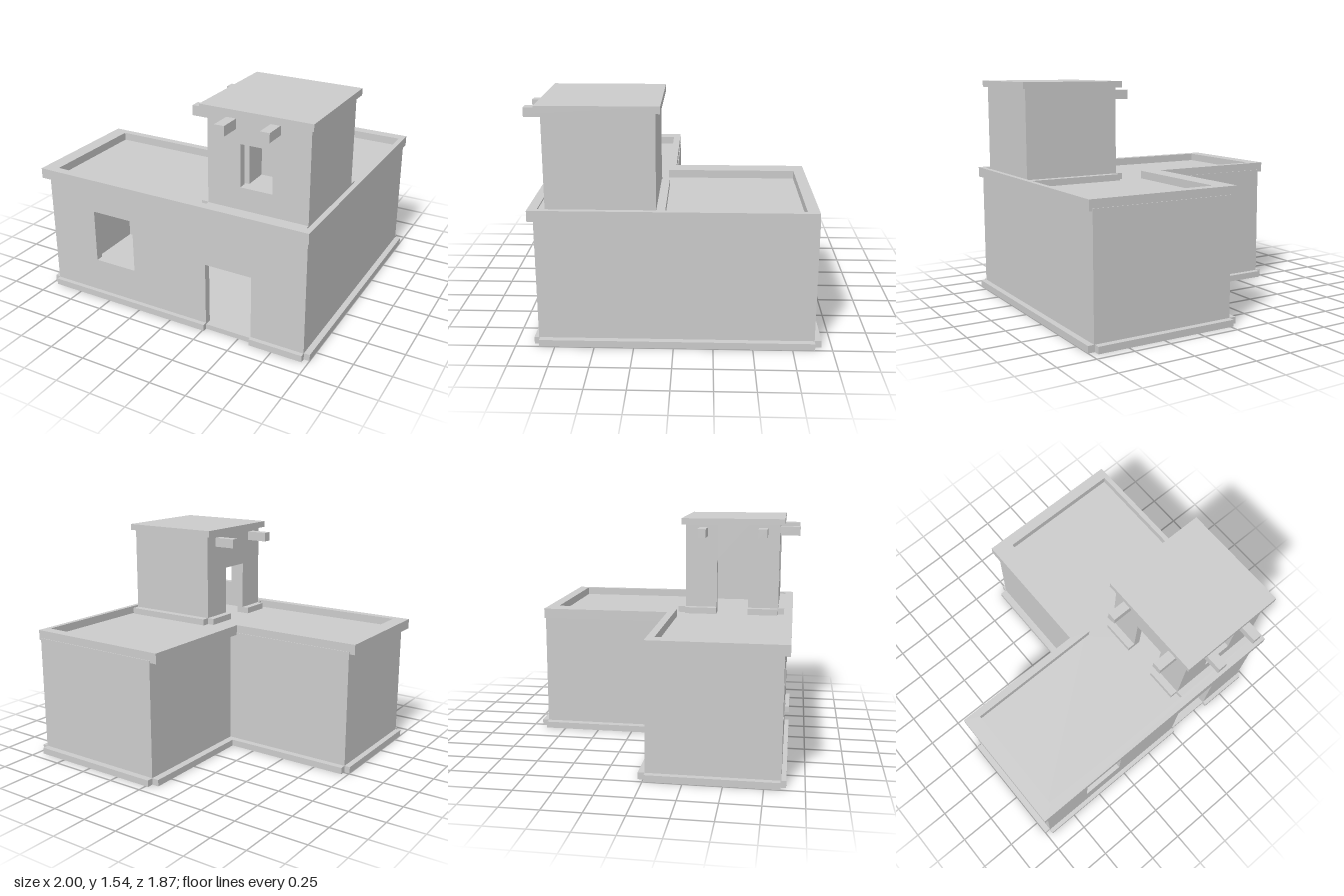
import * as THREE from 'three';

const material = new THREE.MeshStandardMaterial({ color: 0xcccccc, flatShading: true });

function add(group, name, geometry) {
  const mesh = new THREE.Mesh(geometry, material);
  mesh.name = name;
  group.add(mesh);
  return mesh;
}

// Box given by its limits on each axis
function block(group, name, [x0, x1], [y0, y1], [z0, z1]) {
  const mesh = add(group, name, new THREE.BoxGeometry(x1 - x0, y1 - y0, z1 - z0));
  mesh.position.set((x0 + x1) / 2, (y0 + y1) / 2, (z0 + z1) / 2);
  return mesh;
}

// L-shaped outline in plan: front block plus a wing at the back right
function lPoints(left, right, front, back, notchX, notchZ) {
  return [[left, front], [right, front], [right, back], [notchX, back], [notchX, notchZ], [left, notchZ]]
    .map(([x, z]) => new THREE.Vector2(x, -z));
}

function slab(group, name, outer, y0, y1, inner) {
  const shape = new THREE.Shape(outer);
  if (inner) shape.holes.push(new THREE.Path(inner));
  const geometry = new THREE.ExtrudeGeometry(shape, { depth: y1 - y0, bevelEnabled: false });
  geometry.rotateX(-Math.PI / 2);
  geometry.translate(0, y0, 0);
  return add(group, name, geometry);
}

const rect = ([a0, a1], [b0, b1]) =>
  [[a0, b0], [a1, b0], [a1, b1], [a0, b1]].map(([a, b]) => new THREE.Vector2(a, b));

// Upright wall panel in the xy plane with rectangular openings
function panel(span, height, thickness, openings) {
  const shape = new THREE.Shape(rect(span, height));
  openings.forEach(([a, b]) => shape.holes.push(new THREE.Path(rect(a, b))));
  return new THREE.ExtrudeGeometry(shape, { depth: thickness, bevelEnabled: false });
}

const T = 0.05; // wall thickness

function createHouse() {
  const house = new THREE.Group();
  house.name = 'house';
  const H = [0, 0.845];
  const L = -0.96, R = 0.96, F = 0.855, B = -0.89, NX = -0.02, NZ = 0.01;

  // Walls
  const front = panel([L, R], H, T, [
    [[-0.605, -0.295], [0.28, 0.65]],
    [[0.26, 0.59], [0.035, 0.48]],
  ]);
  front.translate(0, 0, F - T);
  add(house, 'frontWall', front);
  block(house, 'leftWall', [L, L + T], H, [NZ, F - T]);
  block(house, 'rightWall', [R - T, R], H, [B, F - T]);
  block(house, 'innerBackWall', [L + T, NX + T], H, [NZ, NZ + T]);
  block(house, 'wingSideWall', [NX, NX + T], H, [B, NZ]);
  block(house, 'wingBackWall', [NX + T, R - T], H, [B, B + T]);

  // Floor, roof deck and parapet
  const inside = lPoints(L + T, R - T, F - T, B + T, NX + T, NZ + T);
  slab(house, 'floor', inside, 0, 0.035);
  slab(house, 'roofDeck', inside, 0.795, 0.845);
  slab(house, 'parapet', lPoints(-1, 0.98, 0.89, -0.885, -0.07, 0.015), 0.83, 0.9,
    lPoints(-0.9, 0.945, 0.83, -0.81, 0.065, 0.065));

  // Plinth strips, open at the corners and the door
  const P = [0, 0.045];
  [
    [[L, 0.26], [F, 0.885]],
    [[0.59, R], [F, 0.885]],
    [[-1, L], [NZ, 0.85]],
    [[L, -0.07], [-0.035, NZ]],
    [[-0.07, NX], [B, NZ]],
    [[NX, 0.955], [-0.935, B]],
    [[R, 1], [B, 0.85]],
  ].forEach(([x, z]) => block(house, 'plinth', x, P, z));
  return house;
}

function createTower() {
  const tower = new THREE.Group();
  tower.name = 'tower';
  const H = [0.845, 1.495];
  const L = 0.25, R = 0.93, F = 0.785, B = 0.105;

  // Front wall with window
  const front = panel([L, R], H, T, [[[0.475, 0.69], [1.04, 1.32]]]);
  front.translate(0, 0, F - T);
  add(tower, 'towerFrontWall', front);

  // Left wall with a doorway down to the deck
  const doorZ = [0.335, 0.565], doorTop = 1.235;
  block(tower, 'towerLeftWall', [L, L + T], H, [B, doorZ[0]]);
  block(tower, 'towerLeftWall', [L, L + T], H, [doorZ[1], F - T]);
  block(tower, 'towerDoorLintel', [L, L + T], [doorTop, H[1]], doorZ);

  block(tower, 'towerRightWall', [R - T, R], H, [B, F - T]);
  block(tower, 'towerBackWall', [L + T, R - T], H, [B, B + T]);
  block(tower, 'towerRoof', [0.215, 0.955], [1.495, 1.54], [0.075, 0.82]);

  // Plinth strips on the deck
  const P = [0.845, 0.89];
  [
    [[0.2, L], [B, doorZ[0]]],
    [[0.2, L], [doorZ[1], 0.78]],
    [[L, R], [0.05, B]],
    [[L, R], [F, 0.835]],
  ].forEach(([x, z]) => block(tower, 'towerPlinth', x, P, z));

  // Projecting roof beams
  block(tower, 'frontBeam', [0.38, 0.445], [1.41, 1.475], [F - 0.02, 0.93]);
  block(tower, 'frontBeam', [0.675, 0.737], [1.425, 1.485], [F - 0.02, 0.93]);
  block(tower, 'sideBeam', [0.095, L + 0.02], [1.41, 1.475], [0.205, 0.265]);
  block(tower, 'sideBeam', [0.095, L + 0.02], [1.41, 1.475], [0.635, 0.7]);
  return tower;
}

export function createModel() {
  const model = new THREE.Group();
  model.name = 'flatRoofHouse';
  model.add(createHouse(), createTower());
  return model;
}
